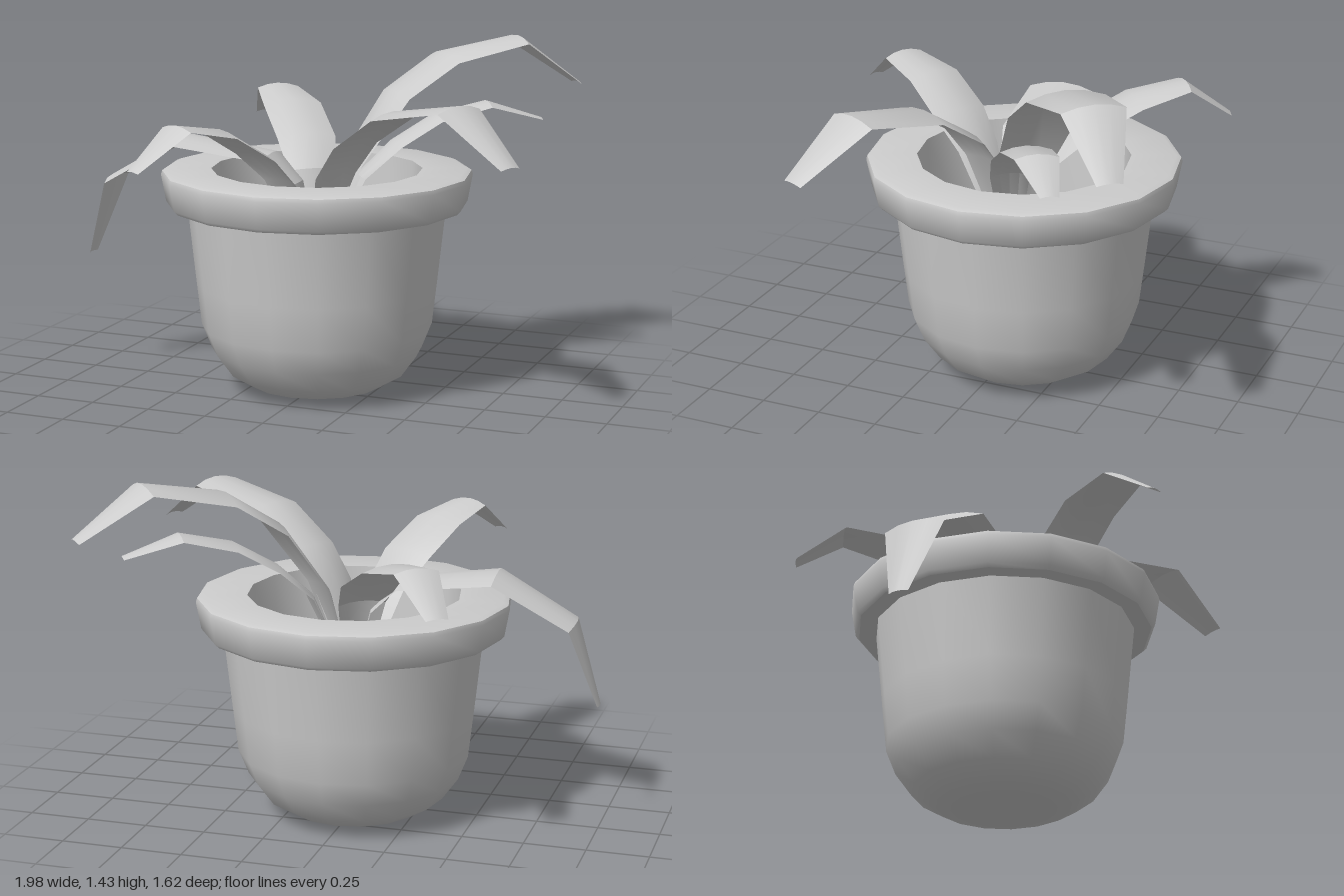
import * as THREE from 'three';
import { toCreasedNormals } from 'three/addons/utils/BufferGeometryUtils.js';

const potMaterial = new THREE.MeshStandardMaterial({ color: 0xcccccc });
const leafMaterial = new THREE.MeshStandardMaterial({ color: 0xcccccc, side: THREE.DoubleSide });
const SIDES = 16;

// Turned part from [radius, height] pairs, creased where the profile bends sharply
function turned(name, profile) {
  const points = profile.map(([r, y]) => new THREE.Vector2(r, y));
  const geometry = toCreasedNormals(new THREE.LatheGeometry(points, SIDES), 0.75);
  const mesh = new THREE.Mesh(geometry, potMaterial);
  mesh.name = name;
  return mesh;
}

// Arched blade along stations [x, y, z, halfWidth], with a raised midrib
function leaf(name, stations) {
  const first = stations[0], last = stations[stations.length - 1];
  const out = new THREE.Vector3(last[0] - first[0], 0, last[2] - first[2]).normalize();
  const side = new THREE.Vector3(out.z, 0, -out.x);
  const across = [-1, -0.5, 0, 0.5, 1];
  const positions = [], index = [];
  stations.forEach(([x, y, z, w], i) => {
    // rib rises perpendicular to the blade
    const a = stations[Math.max(i - 1, 0)], b = stations[Math.min(i + 1, stations.length - 1)];
    const along = new THREE.Vector3(b[0] - a[0], b[1] - a[1], b[2] - a[2]).normalize();
    const up = along.clone().cross(side).normalize();
    for (const t of across) {
      const p = new THREE.Vector3(x, y, z).addScaledVector(side, t * w)
        .addScaledVector(up, 0.2 * w * (0.5 - t * t));
      positions.push(p.x, p.y, p.z);
    }
    if (i === 0) return;
    for (let j = 0; j < across.length - 1; j++) {
      const p = (i - 1) * across.length + j, q = p + across.length;
      index.push(p, p + 1, q, p + 1, q + 1, q);
    }
  });
  const geometry = new THREE.BufferGeometry();
  geometry.setAttribute('position', new THREE.Float32BufferAttribute(positions, 3));
  geometry.setIndex(index);
  const mesh = new THREE.Mesh(toCreasedNormals(geometry, 0.45), leafMaterial);
  mesh.name = name;
  return mesh;
}

export function createModel() {
  const model = new THREE.Group();
  model.name = 'pottedPlant';

  // Pot: rounded body, overhanging rim, hollow top and soil
  const pot = new THREE.Group();
  pot.name = 'pot';
  pot.position.z = -0.065;
  pot.add(
    turned('body', [[0, 0], [0.2, 0.005], [0.28, 0.025], [0.37, 0.08], [0.435, 0.17],
      [0.475, 0.27], [0.495, 0.45], [0.53, 0.78]]),
    turned('rim', [[0.52, 0.77], [0.6, 0.77], [0.615, 0.785], [0.635, 0.895],
      [0.63, 0.912], [0.61, 0.92], [0.43, 0.92]]),
    turned('innerWall', [[0.43, 0.92], [0.41, 0.6]]),
    turned('soil', [[0.41, 0.6], [0, 0.6]]),
  );
  model.add(pot);

  // Leaves
  const leaves = new THREE.Group();
  leaves.name = 'leaves';
  leaves.add(
    leaf('backLeftLeaf', [[0.04, 0.6, -0.04, 0.05], [0.12, 0.95, -0.12, 0.12], [0.26, 1.22, -0.26, 0.15],
      [0.42, 1.36, -0.41, 0.155], [0.67, 1.42, -0.62, 0.125], [0.89, 1.23, -0.77, 0.05]]),
    leaf('lowerBackLeftLeaf', [[0.06, 0.6, -0.03, 0.04], [0.18, 0.9, -0.08, 0.08], [0.3, 1.03, -0.16, 0.1],
      [0.44, 1.13, -0.26, 0.1], [0.62, 1.18, -0.38, 0.085], [0.81, 1.11, -0.51, 0.035]]),
    leaf('frontLeftLeaf', [[0.03, 0.6, 0.01, 0.05], [0.12, 0.92, 0.05, 0.11], [0.22, 1.06, 0.09, 0.12],
      [0.42, 1.2, 0.18, 0.13], [0.73, 1.26, 0.32, 0.115], [0.975, 1.07, 0.45, 0.05]]),
    leaf('frontRightLeaf', [[0, 0.6, 0.03, 0.05], [-0.06, 0.9, 0.16, 0.1], [-0.12, 1.02, 0.27, 0.125],
      [-0.21, 1.13, 0.43, 0.12], [-0.3, 1.17, 0.62, 0.09], [-0.4, 1.02, 0.8, 0.035]]),
    leaf('rightLeaf', [[0, 0.6, -0.03, 0.05], [-0.07, 0.86, -0.03, 0.1], [-0.18, 0.97, -0.02, 0.125],
      [-0.57, 1.02, 0, 0.145], [-0.88, 0.84, 0.025, 0.125], [-0.985, 0.51, 0.03, 0.04]]),
    leaf('backRightLeaf', [[0, 0.6, -0.06, 0.05], [-0.05, 0.9, -0.14, 0.1], [-0.12, 1.02, -0.25, 0.125],
      [-0.26, 1.13, -0.43, 0.125], [-0.4, 1.17, -0.6, 0.09], [-0.52, 1.03, -0.75, 0.045]]),
  );
  model.add(leaves);
  return model;
}
